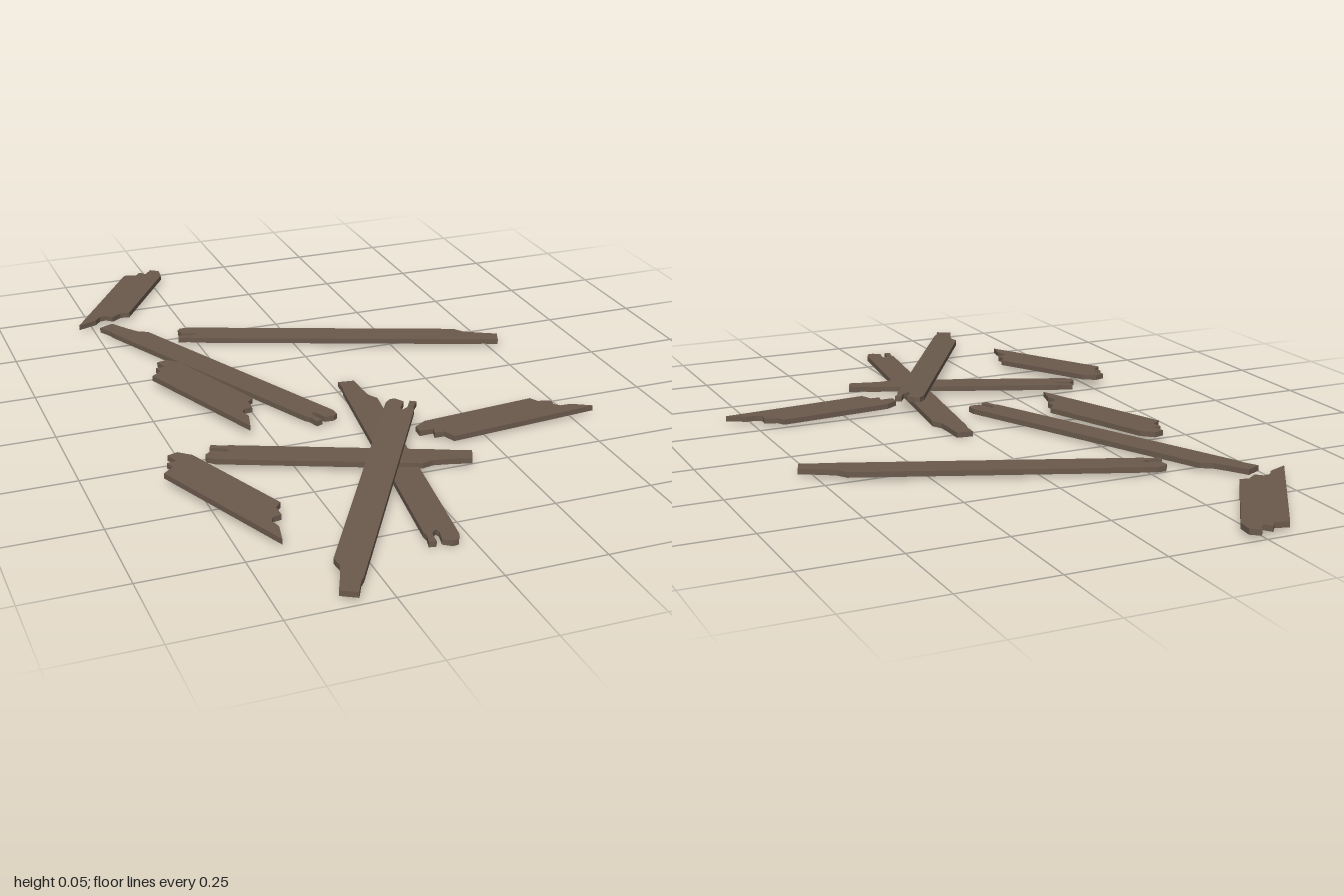
import * as THREE from 'three';

const THICK = 0.014;

// Flat outline (u along the board, v across) -> board lying in the xz plane
function boardGeometry(points) {
  const shape = new THREE.Shape(points.map(([u, v]) => new THREE.Vector2(u, v)));
  const geo = new THREE.ExtrudeGeometry(shape, { depth: THICK, bevelEnabled: false });
  geo.translate(0, 0, -THICK / 2);
  geo.rotateX(Math.PI / 2);
  return geo;
}

// Long plank: splintered fork at u = 0, stepped narrow tip at u = length
function plankOutline(length, side) {
  const w = 0.038;
  return [
    [0.008, -0.016], [0.012, -0.03], [0.035, -w], [0.065, -w],
    [length - 0.12, -w], [length - 0.095, -0.02], [length - 0.06, -0.013],
    [length, -0.005], [length, w], [length - 0.04, w - 0.003], [length - 0.06, w],
    [0.06, w], [0.045, 0.034], [0.015, w], [0.014, 0.02],
    [0.05, 0.02], [0.066, 0.008], [0.055, 0.003], [0.02, 0.006],
  ].map(([u, v]) => [u, v * side]);
}

// Short shard: sharp tip at the origin, jagged break at the far end
const shardOutline = [
  [0, 0], [0.046, 0.033], [0.073, 0.036], [0.085, 0.05], [0.08, 0.072],
  [0.112, 0.085], [0.122, 0.108], [0.43, 0.108], [0.465, 0.09], [0.468, 0.062],
  [0.432, 0.06], [0.44, 0.037], [0.415, 0.034], [0.405, 0],
];

// Lay a board with its u axis running from one point to another
function place(name, geo, material, from, to) {
  const a = new THREE.Vector3(...from);
  const d = new THREE.Vector3(...to).sub(a);
  const mesh = new THREE.Mesh(geo, material);
  mesh.name = name;
  mesh.position.copy(a);
  mesh.rotation.set(0, Math.atan2(-d.z, d.x), Math.asin(d.y / d.length()));
  return mesh;
}

export function createModel() {
  const model = new THREE.Group();
  model.name = 'brokenPlanks';
  const wood = new THREE.MeshStandardMaterial({ color: 0x6b5a4d });
  wood.name = 'weathered wood';

  // Long planks: fork end, tip end, side of the stepped tip
  const planks = [
    [[-0.304, 0.015, -0.492], [0.537, 0.015, -0.16], 1],
    [[-0.087, 0.014, 0.185], [-0.455, 0.014, -0.619], -1],
    [[-0.447, 0.019, 0.257], [0.15, 0.017, 0.511], -1],
    [[-0.069, 0.007, 0.852], [0.05, 0.007, -0.026], -1],
    [[0.098, 0.048, 0.2], [-0.362, 0.016, 0.968], -1],
  ];
  planks.forEach(([fork, tip, side], i) => {
    const length = new THREE.Vector3(...fork).distanceTo(new THREE.Vector3(...tip));
    model.add(place(`longPlank${i + 1}`, boardGeometry(plankOutline(length, side)), wood, fork, tip));
  });

  // Short shards: sharp tip, then the far end of the long edge
  const shardGeo = boardGeometry(shardOutline);
  const shards = [
    [[-0.542, 0.016, -0.635], [-0.325, 0.016, -0.974]],
    [[-0.299, 0.026, 0.175], [-0.447, 0.026, -0.206]],
    [[-0.405, 0.015, 0.72], [-0.569, 0.028, 0.349]],
    [[0.563, 0.014, 0.349], [0.156, 0.014, 0.386]],
  ];
  shards.forEach(([tip, back], i) => {
    model.add(place(`shard${i + 1}`, shardGeo, wood, tip, back));
  });

  return model;
}
